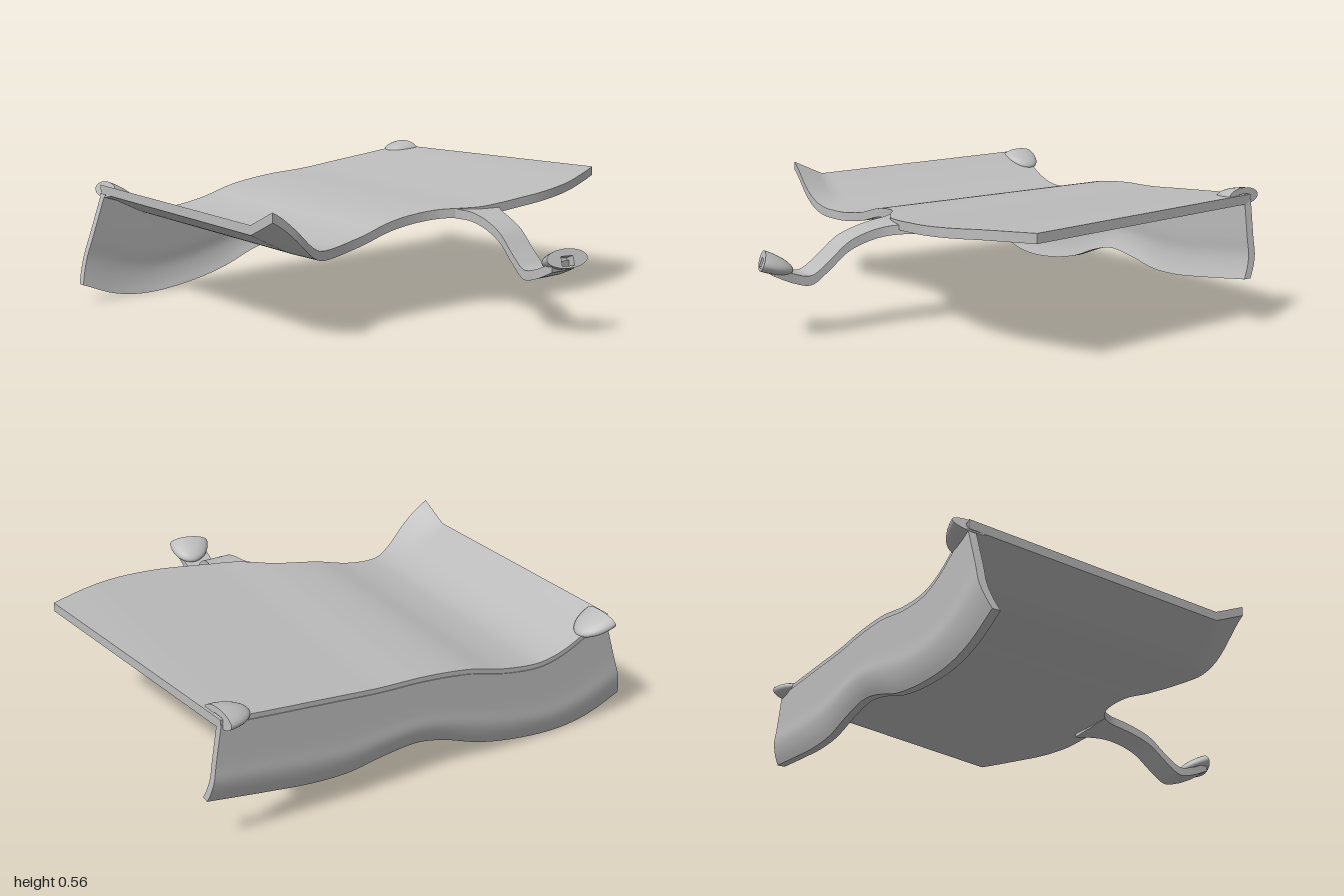
import * as THREE from 'three';

const grey = new THREE.MeshStandardMaterial({ color: 0xbcbcbc });
grey.name = 'plain grey';

// Smooth function through [input, value] points
function curveFn(points) {
  const samples = new THREE.CatmullRomCurve3(points.map(([a, b]) => new THREE.Vector3(a, b, 0)), false, 'centripetal').getPoints(150);
  return (t) => {
    let i = 1;
    while (i < samples.length - 1 && samples[i].x < t) i++;
    const p = samples[i - 1], q = samples[i];
    const k = THREE.MathUtils.clamp((t - p.x) / (q.x - p.x), 0, 1);
    return p.y + (q.y - p.y) * k;
  };
}

// Closed curved slab: f(u, v) is the outer face, the inner face lies at f - d
function slab(name, f, d, nu, nv) {
  const pos = [], idx = [];
  const add = (p) => pos.push(p.x, p.y, p.z) / 3 - 1;
  const outer = (i, j) => f(i / nu, j / nv);
  const inner = (i, j) => outer(i, j).sub(d);
  const face = (fn, flip) => {
    const base = pos.length / 3;
    for (let i = 0; i <= nu; i++) for (let j = 0; j <= nv; j++) add(fn(i, j));
    for (let i = 0; i < nu; i++) for (let j = 0; j < nv; j++) {
      const a = base + i * (nv + 1) + j, b = a + 1, c = a + nv + 1, e = c + 1;
      if (flip) idx.push(a, c, b, b, c, e);
      else idx.push(a, b, c, b, e, c);
    }
  };
  face(outer, false);
  face(inner, true);
  // Rim strips along the four edges
  const strip = (n, at) => {
    const base = pos.length / 3;
    for (let k = 0; k <= n; k++) {
      add(inner(...at(k)));
      add(outer(...at(k)));
    }
    for (let k = 0; k < n; k++) {
      const a = base + 2 * k;
      idx.push(a, a + 1, a + 3, a, a + 3, a + 2);
    }
  };
  strip(nv, (k) => [nu, k]);
  strip(nu, (k) => [nu - k, nv]);
  strip(nv, (k) => [0, nv - k]);
  strip(nu, (k) => [k, 0]);
  const g = new THREE.BufferGeometry();
  g.setAttribute('position', new THREE.Float32BufferAttribute(pos, 3));
  g.setIndex(idx);
  g.computeVertexNormals();
  const mesh = new THREE.Mesh(g, grey);
  mesh.name = name;
  return mesh;
}

// Flattened half-dome with a flat notched face turned towards dir
function socket(name, at, dir, size) {
  const group = new THREE.Group();
  group.name = name;
  const dome = new THREE.SphereGeometry(1, 32, 12, 0, Math.PI * 2, 0, Math.PI / 2).rotateX(-Math.PI / 2);
  const disc = new THREE.Shape().absarc(0, 0, 1, 0, Math.PI * 2);
  const w = 0.3, lo = -0.75, hi = 0.25, depth = 0.4;
  disc.holes.push(new THREE.Path([[-w, lo], [-w, hi], [w, hi], [w, lo]].map((p) => new THREE.Vector2(...p))));
  const cap = new THREE.ShapeGeometry(disc, 24);
  // Recess: a box turned inside out
  const recess = new THREE.BoxGeometry(2 * w, hi - lo, depth).scale(1, 1, -1)
    .translate(0, (hi + lo) / 2, -depth / 2).toNonIndexed();
  recess.computeVertexNormals();
  for (const [label, g] of [['dome', dome], ['cap', cap], ['notch', recess]]) {
    g.scale(...size);
    const mesh = new THREE.Mesh(g, grey);
    mesh.name = label;
    group.add(mesh);
  }
  group.position.set(...at);
  group.lookAt(at[0] + dir[0], at[1] + dir[1], at[2] + dir[2]);
  return group;
}

export function createModel() {
  const model = new THREE.Group();
  model.name = 'curvedPanel';
  const lerp = THREE.MathUtils.lerp;

  // Wavy top sheet with an irregular right edge
  const height = curveFn([[-1, 0.54], [-0.8, 0.528], [-0.6, 0.508], [-0.4, 0.488], [-0.2, 0.468], [0, 0.457],
    [0.2, 0.43], [0.38, 0.382], [0.55, 0.362], [0.66, 0.385], [0.76, 0.432], [0.87, 0.49]]);
  const edge = curveFn([[-1, 0.24], [-0.85, 0.315], [-0.68, 0.38], [-0.5, 0.407], [-0.35, 0.4], [-0.25, 0.39],
    [-0.15, 0.375], [-0.08, 0.34], [0, 0.29], [0.1, 0.265], [0.3, 0.254], [0.45, 0.262], [0.55, 0.285],
    [0.63, 0.325], [0.72, 0.354], [0.86, 0.356]]);
  const topSheet = slab('topSheet', (u, v) => {
    const zr = lerp(-1, 0.855, v);
    const x = lerp(-0.88, edge(zr), u);
    const z = lerp(lerp(-0.83, 0.87, v), zr, u);
    const curl = THREE.MathUtils.smoothstep(z, 0.6, 0.85) * Math.max(0, x - 0.22) * 0.5;
    return new THREE.Vector3(x, height(z) - 0.018 * (x + 0.88) + curl, z);
  }, new THREE.Vector3(0, 0.038, 0), 36, 90);
  model.add(topSheet);

  // Hanging side wall with a wavy, slightly flared lower edge
  const lower = curveFn([[-0.88, 0.2], [-0.65, 0.16], [-0.45, 0.13], [-0.3, 0.125], [-0.15, 0.147], [0, 0.157],
    [0.12, 0.13], [0.3, 0.062], [0.5, 0.018], [0.7, 0.002], [0.85, 0.022], [1, 0.08]]);
  const flare = curveFn([[0, -0.855], [0.12, -0.872], [0.3, -0.886], [0.5, -0.884], [1, -0.883]]);
  const sideWall = slab('sideWall', (u, v) => {
    const zb = lerp(-0.88, 1, v), zt = lerp(-0.83, 0.862, v);
    return new THREE.Vector3(flare(u), lerp(lower(zb), height(zt) - 0.02, u), lerp(zb, zt, u));
  }, new THREE.Vector3(-0.032, 0, 0), 20, 80);
  model.add(sideWall);

  // Arm dipping away from the right edge
  const armY = curveFn([[0.33, 0.438], [0.42, 0.428], [0.5, 0.408], [0.58, 0.372], [0.66, 0.302],
    [0.73, 0.254], [0.8, 0.268], [0.88, 0.305]]);
  const armBack = curveFn([[0.33, -0.3], [0.39, -0.255], [0.45, -0.222], [0.6, -0.19], [0.78, -0.172], [0.88, -0.17]]);
  const armFront = curveFn([[0.33, -0.065], [0.38, -0.086], [0.45, -0.086], [0.6, -0.068], [0.78, -0.046], [0.88, -0.045]]);
  const arm = slab('arm', (u, v) => {
    const x = lerp(0.33, 0.88, u);
    return new THREE.Vector3(x, armY(x), lerp(armBack(x), armFront(x), v));
  }, new THREE.Vector3(0, 0.038, 0), 40, 8);
  model.add(arm);

  // Notched joint sockets at the corners and the arm end
  model.add(
    socket('frontSocket', [-0.86, 0.472, 0.86], [0, 0.38, 0.92], [0.082, 0.034, 0.13]),
    socket('backSocket', [-0.85, 0.524, -0.825], [-0.12, 0.08, -1], [0.082, 0.034, 0.12]),
    socket('armSocket', [0.902, 0.318, -0.105], [0.9, 0.36, 0.28], [0.088, 0.038, 0.125]),
  );
  return model;
}
